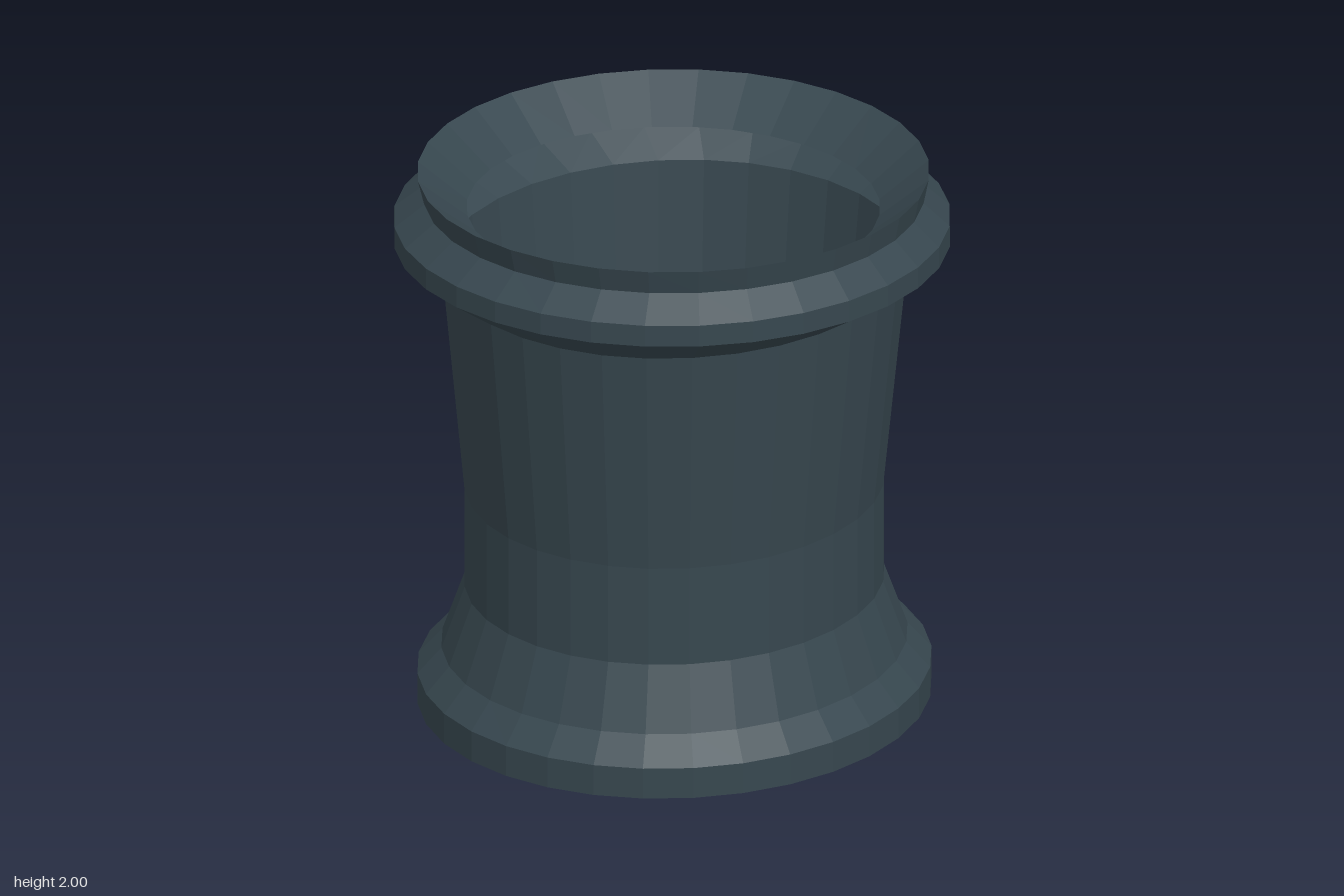
import * as THREE from 'three';

const SEGMENTS = 32;

const slate = new THREE.MeshStandardMaterial({
  color: 0x37474f, flatShading: true, side: THREE.DoubleSide,
});
slate.name = 'slate';

// Lofts oval rings given as [half width x, half depth z, height, x offset].
function ovalLathe(name, rings) {
  const geometry = new THREE.LatheGeometry(
    rings.map(([, rz, y]) => new THREE.Vector2(rz, y)), SEGMENTS);
  const position = geometry.attributes.position;
  for (let i = 0; i < position.count; i++) {
    const [rx, rz, , dx] = rings[i % rings.length];
    position.setX(i, position.getX(i) * (rz ? rx / rz : 1) + dx);
  }
  geometry.computeVertexNormals();
  const mesh = new THREE.Mesh(geometry, slate);
  mesh.name = name;
  return mesh;
}

export function createModel() {
  const model = new THREE.Group();
  model.name = 'pot';

  // Rings shared by neighbouring parts
  const footTop = [0.74, 0.819, 0.44, 0.007];
  const bodyTop = [0.822, 0.909, 1.66, 0.01];
  const neck = [0.89, 0.9, 1.91, 0.005];
  const rim = [0.91, 0.923, 2, 0.003];

  model.add(
    // Closed underside and flared foot
    ovalLathe('foot', [
      [0, 0, 0, 0.007],
      [0.907, 1, 0, 0.007],
      [0.907, 1, 0.115, 0.007],
      [0.822, 0.91, 0.21, 0.007],
      footTop,
    ]),
    // Waisted body
    ovalLathe('body', [footTop, [0.74, 0.819, 0.81, 0.007], bodyTop]),
    // Projecting collar
    ovalLathe('collar', [
      bodyTop,
      [0.99, 1, 1.745, -0.002],
      [0.99, 1, 1.825, -0.002],
      neck,
    ]),
    // Mouth with a thin funnel that overhangs the hollow inside
    ovalLathe('lip', [neck, rim, [0.736, 0.73, 1.86, 0.003]]),
  );
  return model;
}
